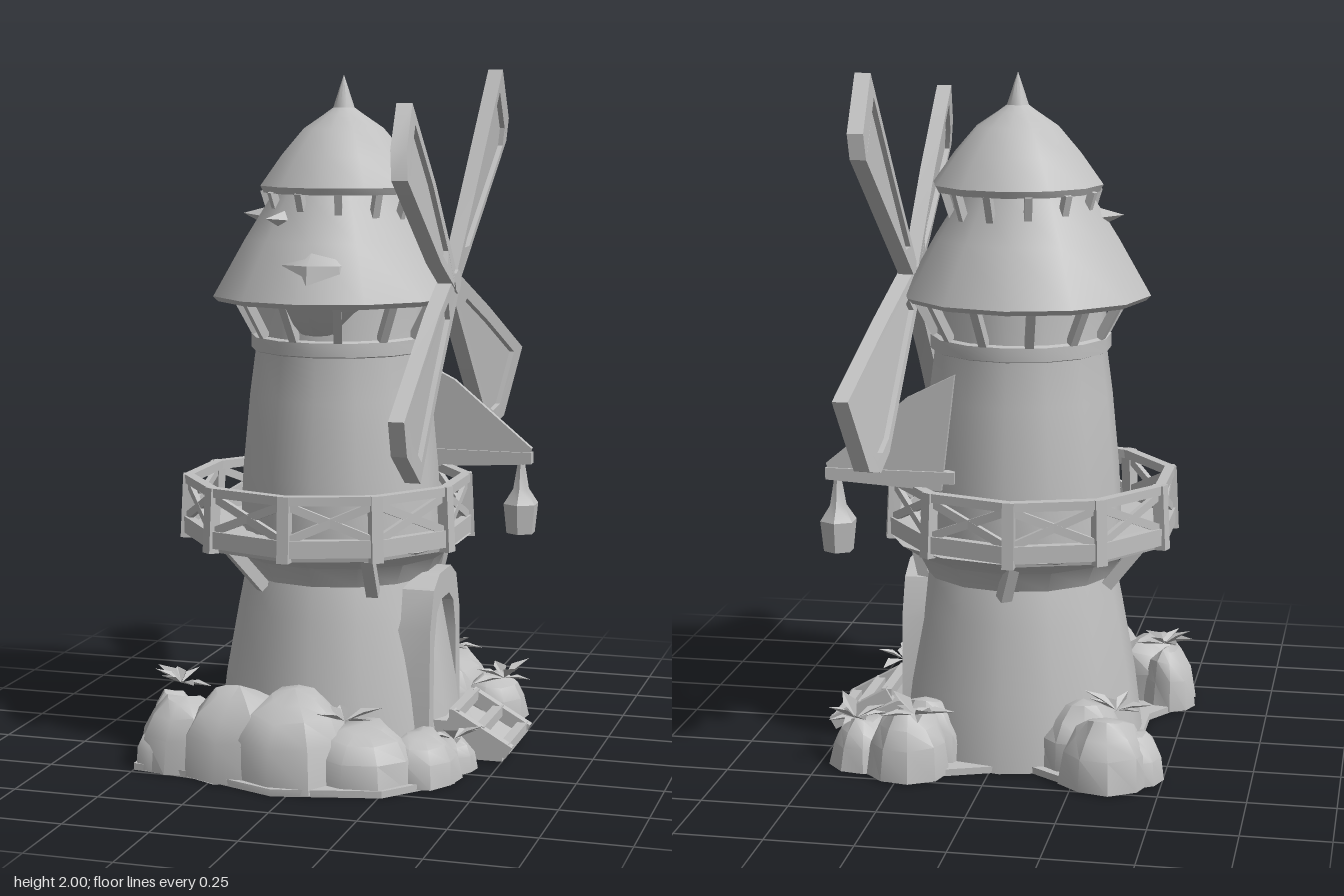
import * as THREE from 'three';
import { toCreasedNormals } from 'three/addons/utils/BufferGeometryUtils.js';

const stone = new THREE.MeshStandardMaterial({ color: 0xc0c0c0, side: THREE.DoubleSide });
stone.name = 'paleGrey';
const CX = -0.03, CZ = -0.03; // tower axis

function createModel() {
  const model = new THREE.Group();
  model.name = 'windmill';
  let seed = 7;
  const rand = () => (seed = (seed * 16807) % 2147483647) / 2147483647;

  const add = (name, geo, x = 0, y = 0, z = 0, parent = model) => {
    const mesh = new THREE.Mesh(toCreasedNormals(geo, 0.6), stone);
    mesh.name = name;
    mesh.position.set(x, y, z);
    parent.add(mesh);
    return mesh;
  };
  const lathe = (name, pts, sides, x = CX, z = CZ) =>
    add(name, new THREE.LatheGeometry(pts.map(p => new THREE.Vector2(...p)), sides), x, 0, z);
  // square timber between two points
  const beam = (name, a, b, w = 0.02, d = w) => {
    const p = new THREE.Vector3(...a), q = new THREE.Vector3(...b);
    const mesh = add(name, new THREE.BoxGeometry(w, d, p.distanceTo(q)));
    mesh.position.copy(p).add(q).multiplyScalar(0.5);
    mesh.lookAt(q);
    return mesh;
  };
  const outline = pts => new THREE.Shape(pts.map(p => new THREE.Vector2(...p)));
  const ring = (r, a, y, x = CX, z = CZ) => [x + r * Math.sin(a), y, z + r * Math.cos(a)];

  // Tower, flaring out below the gallery
  lathe('tower', [[0.37, 0], [0.345, 0.2], [0.305, 0.42], [0.285, 0.52], [0.315, 0.58], [0.39, 0.63],
    [0.3, 0.64], [0.292, 0.82], [0.27, 1.05], [0.25, 1.2], [0.25, 1.36]], 14);
  lathe('towerBand', [[0.25, 1.18], [0.265, 1.185], [0.265, 1.225], [0.25, 1.23]], 14);

  // Skirt roof and cap
  lathe('skirtRoof', [[0.25, 1.36], [0.35, 1.33], [0.365, 1.345], [0.27, 1.51], [0.2, 1.62], [0.175, 1.67]],
    12, -0.045, -0.022);
  lathe('capRoof', [[0, 1.7], [0.15, 1.66], [0.24, 1.645], [0.25, 1.665], [0.185, 1.755], [0.12, 1.83],
    [0.06, 1.87], [0.032, 1.89], [0.012, 1.95], [0, 1.985]], 12, -0.02);
  for (let i = 0; i < 12; i++) {
    const a = (i + 0.5) * Math.PI / 6;
    beam('capBracket', ring(0.2, a, 1.57), ring(0.225, a, 1.65), 0.022);
    beam('skirtBracket', ring(0.25, a, 1.23), ring(0.31, a, 1.34), 0.025);
  }
  // Pointed bay hanging under the front eave
  lathe('frontBay', [[0, 1.23], [0.06, 1.25], [0.14, 1.34], [0.12, 1.45], [0, 1.55]], 8, -0.03, 0.18);
  // Small pointed dormers on the skirt
  for (const a of [-1.55, -0.5]) {
    const d = add('dormer', new THREE.ConeGeometry(0.06, 0.16, 4), ...ring(0.22, a, 1.57));
    d.rotation.set(Math.PI / 2 - 0.1, a, 0, 'YXZ');
  }

  // Gallery deck and railing with crossed braces, leaning in slightly at the top
  const GX = -0.063, GZ = -0.005, N = 10;
  lathe('galleryDeck', [[0.26, 0.615], [0.41, 0.62], [0.42, 0.66], [0.26, 0.655]], N, GX, GZ);
  for (let i = 0; i < N; i++) {
    const a = i * 2 * Math.PI / N, b = (i + 1) * 2 * Math.PI / N;
    const p = (ang, y, r = 0.422 - (y - 0.62) * 0.05) => ring(r, ang, y, GX, GZ);
    beam('topRail', p(a, 0.797), p(b, 0.797), 0.03, 0.026);
    beam('bottomRail', p(a, 0.66), p(b, 0.66), 0.025, 0.05);
    beam('railPost', p(a, 0.62), p(a, 0.81), 0.034);
    beam('brace', p(a, 0.68), p(b, 0.785), 0.014, 0.024);
    beam('brace', p(a, 0.785), p(b, 0.68), 0.014, 0.024);
    if (i % 2) beam('galleryStrut', ring(0.285, a, 0.5), p(a, 0.62, 0.35), 0.035);
  }

  // Arched doorway: frame with a recessed leaf, facing +x
  const arch = (w, h) => outline([[-w, 0], [w, 0], [w * 0.95, h * 0.72], [w * 0.72, h * 0.93],
    [w * 0.35, h], [-w * 0.35, h], [-w * 0.72, h * 0.93], [-w * 0.95, h * 0.72]]);
  const frame = arch(0.185, 0.54);
  frame.holes.push(arch(0.135, 0.46));
  for (const [name, shape, depth] of [['doorFrame', frame, 0.17], ['door', arch(0.14, 0.47), 0.12]]) {
    const g = new THREE.ExtrudeGeometry(shape, { depth, bevelEnabled: false });
    add(name, g.rotateY(Math.PI / 2), 0.13, 0, -0.005);
  }

  // Sloping steps with side rails
  const slope = new THREE.ExtrudeGeometry(outline([[0.26, 0], [0.5, 0], [0.5, 0.03], [0.33, 0.11], [0.26, 0.11]]),
    { depth: 0.23, bevelEnabled: false });
  add('stepCore', slope, 0, 0, -0.13);
  for (const z of [-0.135, 0.115]) beam('stepSide', [0.35, 0.135, z], [0.525, 0.035, z], 0.03, 0.04);
  for (let i = 0; i < 3; i++) beam('tread', [0.36 + i * 0.075, 0.135 - i * 0.045, -0.14],
    [0.36 + i * 0.075, 0.135 - i * 0.045, 0.12], 0.03);

  // Sails: pitch, then an outline in (-z, y); hollow frame with a canvas set inside
  const HX = 0.3, HY = 1.39, HZ = -0.02;
  const sails = [
    [-0.1, [[0.01, 1.4], [0.19, 1.65], [0.43, 2], [0.62, 1.85], [0.615, 1.78], [0.1, 1.4]]],
    [-0.14, [[0, 1.37], [-0.22, 1.46], [-0.66, 1.71], [-0.63, 1.79], [-0.47, 1.91], [-0.19, 1.68], [0.04, 1.42]]],
    [0.03, [[0.02, 1.42], [-0.2, 1.32], [-0.64, 1.07], [-0.6, 0.97], [-0.43, 0.87], [-0.2, 1.11], [0.05, 1.35]]],
    [-0.18, [[0, 1.36], [0.25, 1.11], [0.42, 0.94], [0.5, 0.9], [0.58, 0.92], [0.665, 1.13], [0.32, 1.29],
      [0.04, 1.41]]],
  ];
  for (const [pitch, pts] of sails) {
    const far = pts.filter(p => Math.hypot(p[0] + HZ, p[1] - HY) > 0.5);
    const mx = far.reduce((s, p) => s + p[0], 0) / far.length + HZ;
    const my = far.reduce((s, p) => s + p[1], 0) / far.length - HY;
    const len = Math.hypot(mx, my);
    const c = [mx * 0.7 - HZ, my * 0.7 + HY];
    const inset = pts.map(p => [c[0] + (p[0] - c[0]) * 0.75, c[1] + (p[1] - c[1]) * 0.75]);
    const rim = outline(pts);
    rim.holes.push(outline(inset));
    const sail = new THREE.Group();
    sail.name = 'sail';
    sail.position.x = HX;
    model.add(sail);
    const parts = [['sailFrame', rim, 0.045], ['sailCanvas', outline(inset), 0.015]];
    for (const [name, shape, depth] of parts) {
      const g = new THREE.ExtrudeGeometry(shape, { depth, bevelEnabled: false });
      g.translate(0, 0, -depth / 2).rotateY(Math.PI / 2);
      const pos = g.attributes.position;
      for (let k = 0; k < pos.count; k++) { // pitch across the blade, slight lean outward
        const u = -pos.getZ(k) + HZ, v = pos.getY(k) - HY;
        const cross = (u * my - v * mx) / len;
        pos.setX(k, pos.getX(k) + cross * pitch + 0.03 * Math.hypot(u, v));
      }
      g.computeVertexNormals();
      add(name, g, 0, 0, 0, sail);
    }
  }
  const shaft = add('sailShaft', new THREE.CylinderGeometry(0.035, 0.05, 0.3, 8), 0.18, HY, HZ);
  shaft.rotation.z = -Math.PI / 2;

  // Lantern hung from a bracket with a triangular side sheet
  const sheet = new THREE.ExtrudeGeometry(outline([[0.12, 1.14], [0.26, 1.07], [0.5, 0.87], [0.48, 0.82], [0.16, 0.8]]),
    { depth: 0.02, bevelEnabled: false });
  add('lanternBracket', sheet, 0, 0, -0.28);
  beam('bracketArm', [0.12, 0.84, -0.27], [0.5, 0.84, -0.27], 0.035);
  const lamp = new THREE.LatheGeometry([[0, 0.61], [0.045, 0.61], [0.055, 0.7], [0.025, 0.745], [0.012, 0.82]]
    .map(p => new THREE.Vector2(...p)), 6);
  add('lantern', lamp, 0.467, 0, -0.27);

  // Rocky footing: flat slab and steep-sided boulders cut level at the ground
  const slab = new THREE.ExtrudeGeometry(outline([[-0.5, -0.48], [-0.28, -0.52], [-0.04, -0.61], [0.26, -0.54],
    [0.42, -0.35], [0.4, -0.12], [0.36, 0.2], [0.42, 0.4], [0.28, 0.52], [0.14, 0.45], [-0.1, 0.36],
    [-0.3, 0.5], [-0.46, 0.4], [-0.4, 0.15], [-0.4, -0.15], [-0.5, -0.3]]), { depth: 0.02, bevelEnabled: false });
  add('groundSlab', slab.rotateX(-Math.PI / 2));
  const rocks = [ // x, z, half width, height, half depth
    [-0.37, 0.39, 0.14, 0.2, 0.13], [-0.2, 0.41, 0.18, 0.24, 0.16], [-0.03, 0.42, 0.18, 0.25, 0.19],
    [0.17, 0.41, 0.16, 0.17, 0.15], [0.32, 0.34, 0.11, 0.14, 0.12], [-0.44, 0.3, 0.08, 0.19, 0.08],
    [-0.44, 0.43, 0.07, 0.12, 0.07], [0.38, 0.22, 0.07, 0.1, 0.07],
    [-0.34, -0.41, 0.13, 0.19, 0.12], [-0.42, -0.37, 0.08, 0.14, 0.09], [0.23, -0.42, 0.12, 0.19, 0.12],
    [0.37, -0.37, 0.1, 0.14, 0.11], [-0.26, -0.3, 0.14, 0.2, 0.12], [0.2, -0.32, 0.12, 0.19, 0.1],
  ];
  for (const [x, z, w, h, d] of rocks) {
    const g = new THREE.SphereGeometry(1, 9, 8), pos = g.attributes.position;
    const ph = rand() * 6;
    for (let k = 0; k < pos.count; k++) {
      const px = pos.getX(k), py = pos.getY(k), pz = pos.getZ(k);
      const s = 1 + 0.08 * Math.sin(px * 4 + ph) * Math.cos(pz * 5 - ph + py * 3);
      pos.setXYZ(k, px * s * w, Math.max(py, 0) ** 0.75 * s * h, pz * s * d);
    }
    g.computeVertexNormals();
    add('boulder', g, x, 0.004, z);
  }

  // Tufts of pointed leaves among the boulders
  const leaf = new THREE.BufferGeometry();
  leaf.setAttribute('position', new THREE.Float32BufferAttribute(
    [0, 0, 0, 0.025, 0.03, 0.06, 0, 0.03, 0.13, 0, 0, 0, 0, 0.03, 0.13, -0.025, 0.03, 0.06], 3));
  leaf.computeVertexNormals();
  for (const [x, y, z] of [[-0.43, 0.21, 0.27], [-0.36, 0.19, -0.33], [0.12, 0.18, 0.43], [0.4, 0.11, 0.28],
    [0.2, 0.19, -0.47], [0.4, 0.13, -0.36]]) {
    for (let i = 0; i < 7; i++) {
      const l = add('leaf', leaf.clone(), x, y, z);
      l.rotation.set(0.3 - rand() * 0.6, i * 0.9 + rand(), 0, 'YXZ');
      l.scale.setScalar(0.55 + rand() * 0.35);
    }
  }
  return model;
}

export { createModel };
